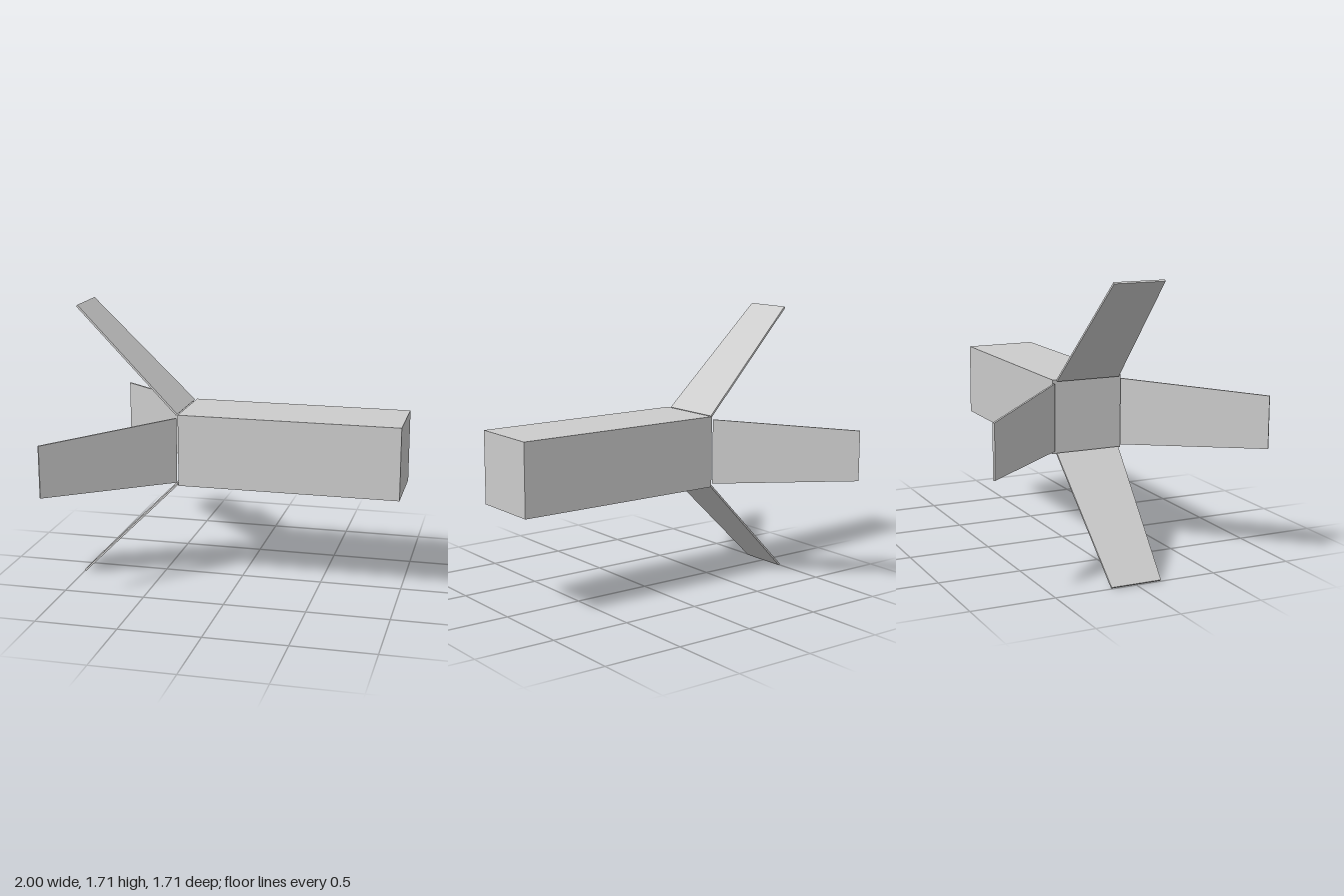
import * as THREE from 'three';

const AXIS_Y = 0.857; // height of the body's long axis
const THICK = 0.012;
const ROOT = [-0.362, 0.218]; // x and distance from the axis, at the hinge end
const TIP = [-0.996, 0.852];

export function createModel() {
  const group = new THREE.Group();
  const grey = new THREE.MeshStandardMaterial({ color: 0xcccccc });
  grey.name = 'light grey';

  // Long square body
  const body = new THREE.Mesh(new THREE.BoxGeometry(1.35, 0.444, 0.444), grey);
  body.name = 'body';
  body.position.set(0.325, AXIS_Y, 0);
  group.add(body);

  // Tapered panel, drawn flat with its length along -x and its root at the origin
  const length = Math.hypot(TIP[0] - ROOT[0], TIP[1] - ROOT[1]);
  const outline = new THREE.Shape([
    new THREE.Vector2(0, -0.202),
    new THREE.Vector2(0, 0.202),
    new THREE.Vector2(-length, 0.156),
    new THREE.Vector2(-length, -0.156),
  ]);
  const panelGeometry = new THREE.ExtrudeGeometry(outline, { depth: THICK, bevelEnabled: false });
  panelGeometry.translate(0, 0, -THICK / 2);
  panelGeometry.rotateY(Math.PI / 4); // splay outwards and backwards
  panelGeometry.translate(ROOT[0], 0, ROOT[1]);

  // Four panels around the body's axis
  ['frontPanel', 'lowerPanel', 'backPanel', 'upperPanel'].forEach((name, i) => {
    const panel = new THREE.Mesh(panelGeometry, grey);
    panel.name = name;
    panel.position.y = AXIS_Y;
    panel.rotation.x = (i * Math.PI) / 2;
    group.add(panel);
  });

  return group;
}
